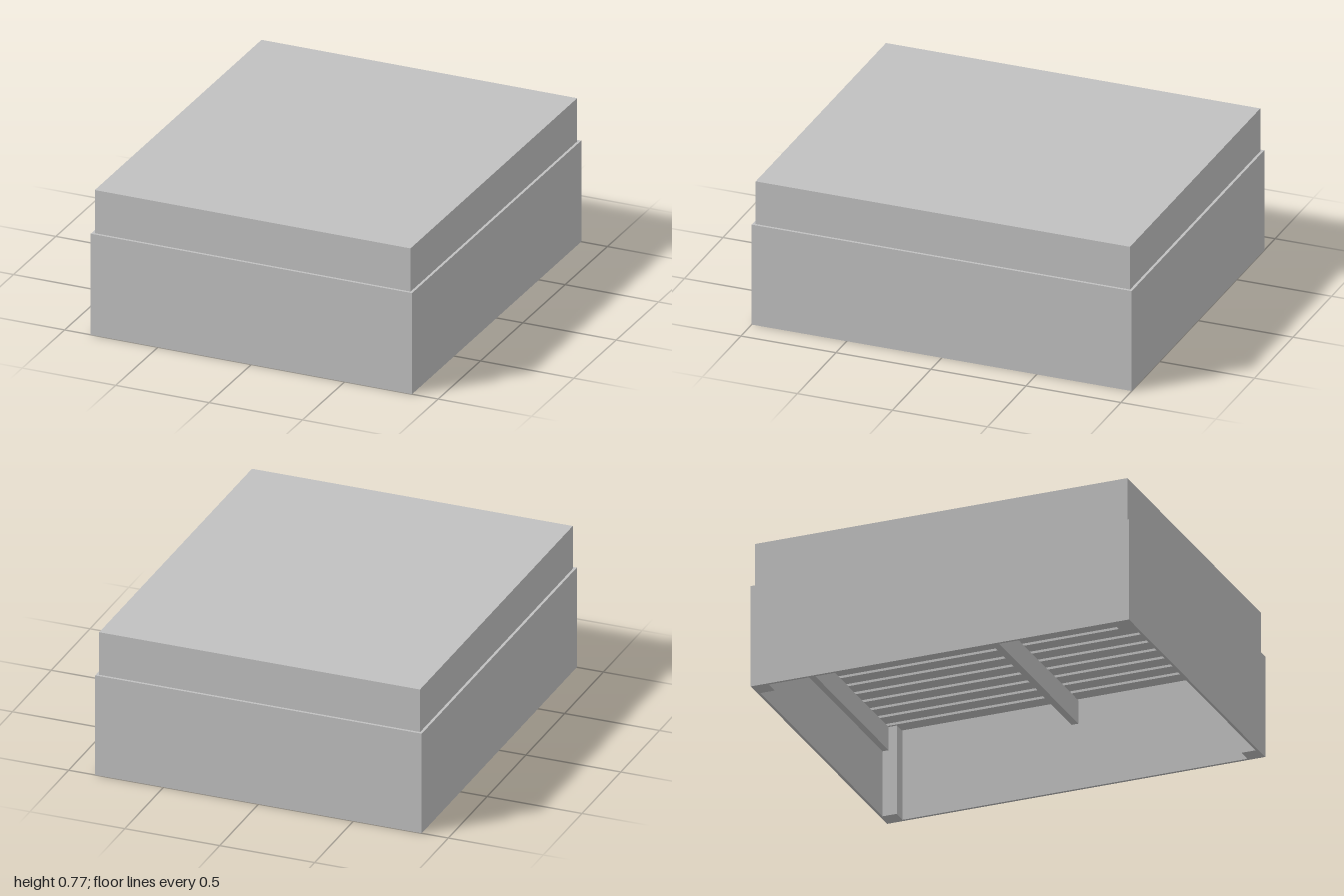
import * as THREE from 'three';

export function createModel() {
  const group = new THREE.Group();
  const grey = new THREE.MeshStandardMaterial({ color: 0xc0c0c0 });
  grey.name = 'plain grey';

  // Box given by its lower and upper limits on each axis
  const box = (name, [x0, x1], [y0, y1], [z0, z1]) => {
    const mesh = new THREE.Mesh(new THREE.BoxGeometry(x1 - x0, y1 - y0, z1 - z0), grey);
    mesh.position.set((x0 + x1) / 2, (y0 + y1) / 2, (z0 + z1) / 2);
    mesh.name = name;
    group.add(mesh);
  };
  const span = (centre, size) => [centre - size / 2, centre + size / 2];

  const W = 0.86, L = 1, H = 0.54; // half width, half length, frame height
  const T = 0.014, POST = 0.075;   // panel thickness, post width
  const IX = W - T, IZ = L - T;    // inner faces of the panels
  const RAIL = [0.35, 0.475];      // height range of the rails
  const SLAT_TOP = 0.5;

  // Side panels, end panels and end rails
  for (const s of [-1, 1]) {
    box('sidePanel', span(s * (W - T / 2), T), [0, H], [-L, L]);
    box('endPanel', [-IX, IX], [0, H], span(s * (L - T / 2), T));
    box('endRail', [-IX + POST, IX - POST], RAIL, span(s * (IZ - 0.016), 0.032));
    // Corner posts
    for (const e of [-1, 1]) {
      box('cornerPost', span(s * (IX - POST / 2), POST), [0, RAIL[1]],
        span(e * (IZ - POST / 2), POST));
    }
  }

  // Cross beam under the middle of the slats
  box('middleBeam', [-IX, IX], RAIL, span(0, 0.036));

  // Lengthwise slats
  const count = 17, pitch = (2 * IX) / count;
  for (let i = 0; i < count; i++) {
    box('slat', span(-IX + (i + 0.5) * pitch, pitch - 0.025), [RAIL[1], SLAT_TOP], [-IZ, IZ]);
  }

  // Mattress resting on the slats
  box('mattress', [-IX + 0.001, IX - 0.001], [SLAT_TOP, 0.77], [-IZ + 0.001, IZ - 0.001]);

  return group;
}
